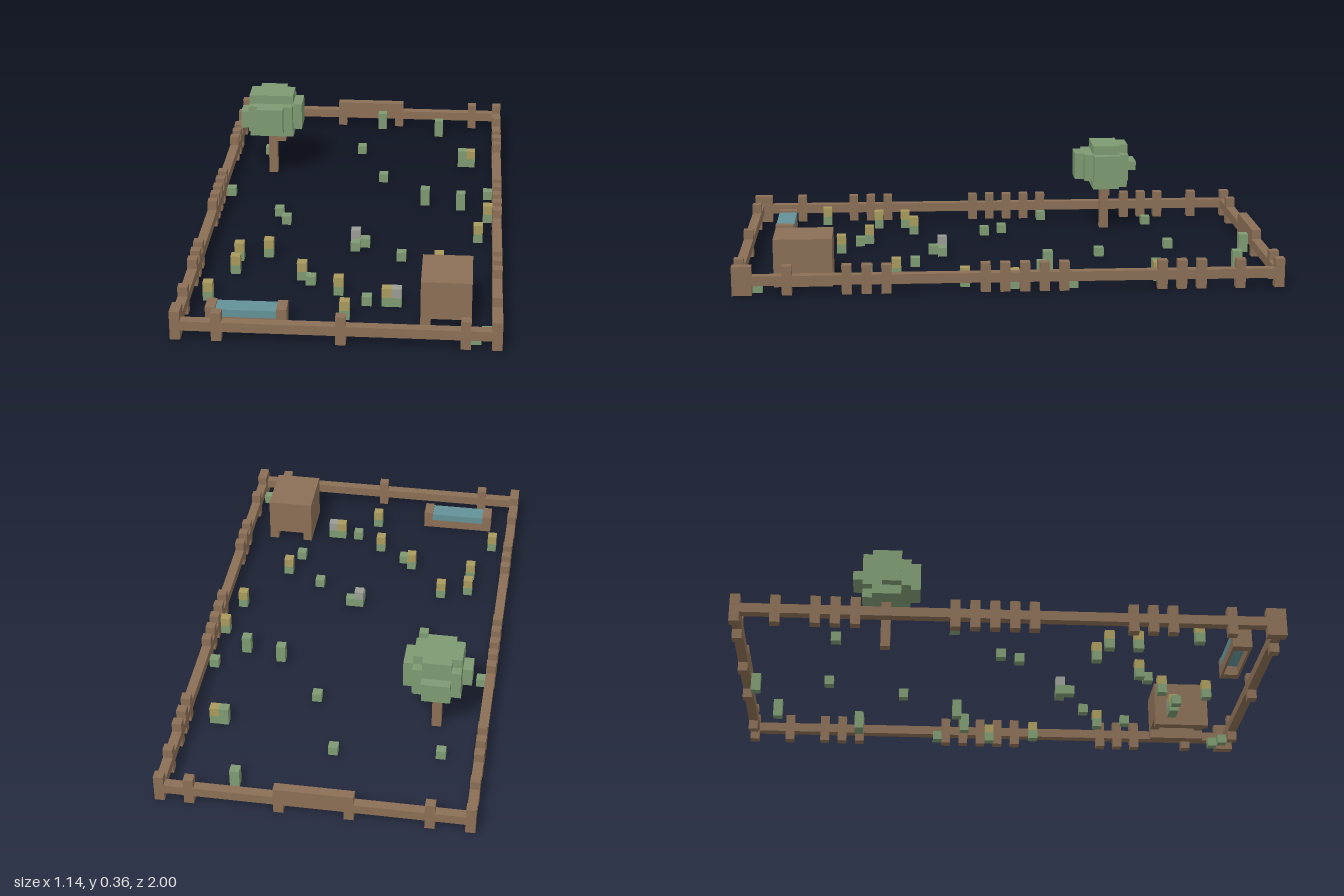
import * as THREE from 'three';
import { mergeGeometries } from 'three/addons/utils/BufferGeometryUtils.js';

// One block is 1/28 unit; the yard is 32 x 56 blocks.
const U = 1 / 28;
const mat = (name, color) => {
  const m = new THREE.MeshStandardMaterial({ color });
  m.name = name;
  return m;
};

// Box spanning block corners [x0, y0, z0] to [x1, y1, z1]
function block(x0, y0, z0, x1, y1, z1) {
  const g = new THREE.BoxGeometry((x1 - x0) * U, (y1 - y0) * U, (z1 - z0) * U);
  return g.translate(((x0 + x1) / 2 - 16) * U, ((y0 + y1) / 2) * U, ((z0 + z1) / 2 - 28) * U);
}

export function createModel() {
  const model = new THREE.Group();
  model.name = 'fencedYard';
  const brown = mat('wood brown', 0x8b6f56);
  const green = mat('leaf green', 0x7d9a72);
  const teal = mat('water teal', 0x639196);
  const yellow = mat('blossom yellow', 0xa89a5c);
  const grey = mat('blossom grey', 0x9c9c96);

  const add = (name, material, boxes) => {
    const mesh = new THREE.Mesh(mergeGeometries(boxes.map(b => block(...b))), material);
    mesh.name = name;
    model.add(mesh);
  };

  // Fence rails
  add('fenceRails', brown, [
    [0, 1, 0, 32, 2, 1], [0, 1, 55, 32, 2, 56],
    [0, 1, 1, 1, 2, 55], [31, 1, 1, 32, 2, 55],
  ]);

  // Fence posts, standing below and above the rail
  const posts = [];
  const post = (i, k) => posts.push([i, 0, k, i + 1, 1, k + 1], [i, 2, k, i + 1, 3, k + 1]);
  for (const i of [0, 4, 28, 31]) { post(i, 0); post(i, 55); }
  post(16, 55);
  for (const k of [4, 8, 10, 12, 22, 24, 26, 28, 30, 40, 42, 44, 50, 54]) {
    post(0, k);
    post(31, k);
  }
  add('fencePosts', brown, posts);

  // Gate in the back fence
  add('gate', brown, [[12, 2, 0, 20, 3, 1], [12, 0, 0, 13, 1, 1], [19, 0, 0, 20, 1, 1]]);

  // Shed: open underneath, with low openings front and back
  add('shed', brown, [
    [24, 0, 46, 25, 5, 52], [28, 0, 46, 29, 5, 52],
    [25, 1, 46, 28, 5, 47], [25, 1, 51, 28, 5, 52],
    [25, 4, 47, 28, 5, 51],
  ]);

  // Water trough
  add('trough', brown, [
    [3, 0, 51, 4, 2, 53], [10, 0, 51, 11, 2, 53],
    [4, 0, 51, 10, 1, 51.25], [4, 0, 52.75, 10, 1, 53],
  ]);
  add('water', teal, [[4, 1, 51, 10, 1.8, 53]]);

  // Tree
  add('treeTrunk', brown, [[5, 0, 15, 6, 5, 16], [6, 4, 15, 7, 5, 16]]);
  add('treeCrown', green, [
    [3, 5, 14, 8, 6, 17], [4, 5, 13, 7, 6, 17],
    [3, 6, 13, 8, 9, 18], [4, 6, 13, 7, 9, 19],
    [2, 6, 15, 3, 8, 17], [8, 6, 14, 9, 9, 17],
    [4, 7, 12, 7, 8, 13],
    [3, 9, 14, 8, 10, 17], [4, 9, 13, 7, 10, 17],
  ]);

  // Plants, given as [column, row] in blocks
  const stack = (cells, y0, y1) => cells.map(([i, k]) => [i, y0, k, i + 1, y1, k + 1]);
  const low = [[15, 9], [4, 10], [18, 17], [30, 21], [1, 22], [7, 27], [8, 29], [17, 34],
    [16, 35], [21, 37], [24, 42], [12, 43], [18, 47], [30, 53], [29, 54]];
  const tall = [[17, 1], [24, 3], [27, 12], [23, 23], [27, 24]];
  const yellowTop = [[28, 12], [30, 27], [29, 32], [7, 37], [4, 38], [25, 39], [4, 41],
    [11, 42], [15, 45], [20, 47], [2, 47], [16, 50]];
  const greyTop = [[16, 34], [21, 47]];
  add('lowPlants', green, stack(low, 0, 1));
  add('tallPlants', green, stack(tall, 0, 2));
  add('flowerStems', green, stack([...yellowTop, ...greyTop], 0, 1));
  add('yellowFlowers', yellow, stack(yellowTop, 1, 2));
  add('greyFlowers', grey, stack(greyTop, 1, 2));

  return model;
}
